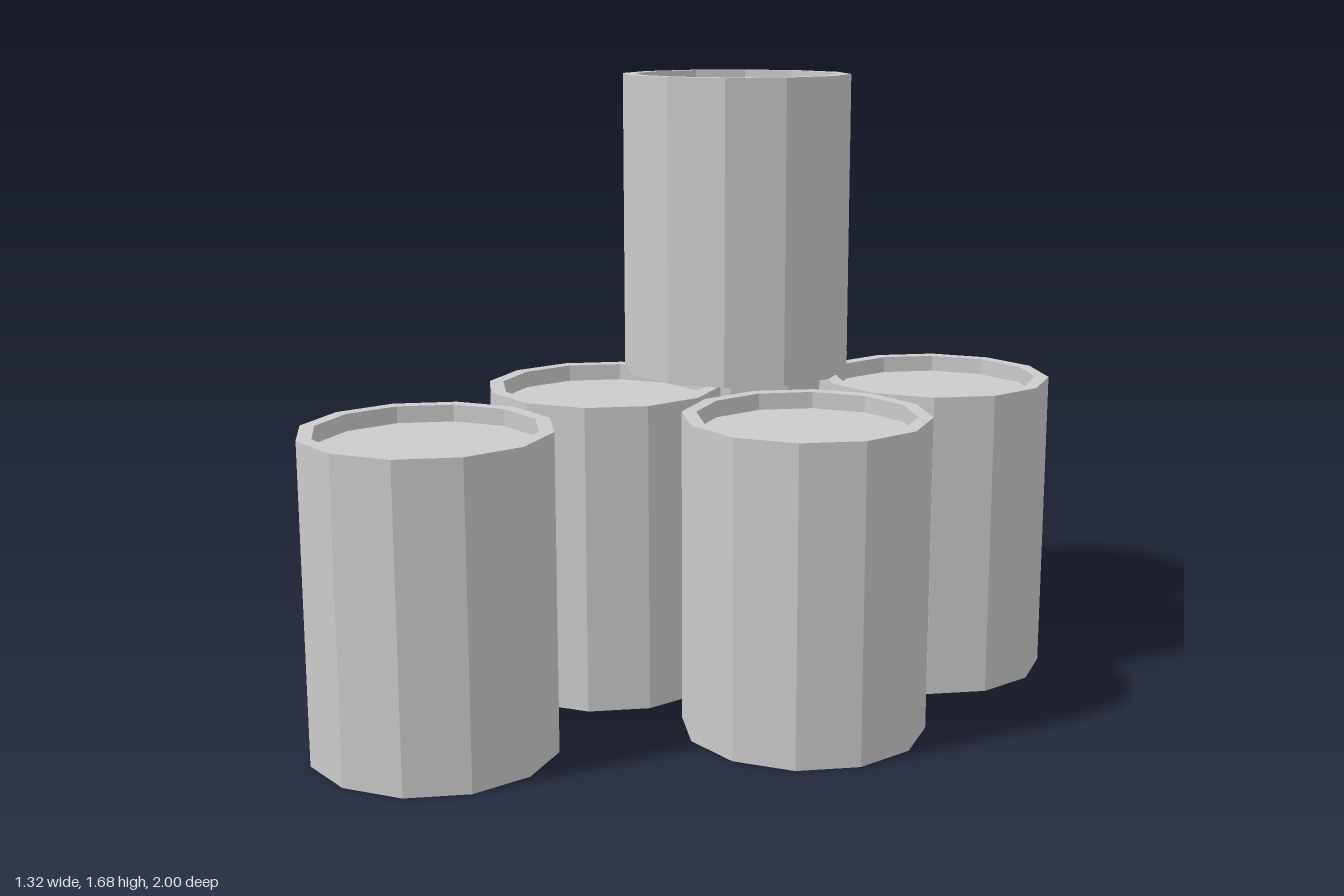
import * as THREE from 'three';

const SIDES = 12;
const RADIUS = 0.323;
const INNER = 0.285;
const HEIGHT = 0.838;
const RECESS = 0.045;

// Closed drum profile, bottom centre to top centre, with a recessed lid at both ends
function drumGeometry() {
  const profile = [
    [0, RECESS], [INNER, RECESS], [INNER, 0], [RADIUS, 0],
    [RADIUS, HEIGHT], [INNER, HEIGHT], [INNER, HEIGHT - RECESS], [0, HEIGHT - RECESS],
  ].map(([r, y]) => new THREE.Vector2(r, y));
  return new THREE.LatheGeometry(profile, SIDES);
}

export function createModel() {
  const group = new THREE.Group();
  group.name = 'barrelStack';
  const geometry = drumGeometry();
  const material = new THREE.MeshStandardMaterial({ color: 0xcccccc, flatShading: true });

  // Five drums on the ground, one stacked on top
  const drums = [
    ['backRightBarrel', -0.336, 0, -0.677],
    ['backLeftBarrel', 0.333, 0, -0.677],
    ['middleRightBarrel', -0.336, 0, -0.021],
    ['middleLeftBarrel', 0.333, 0, -0.021],
    ['frontRightBarrel', -0.336, 0, 0.677],
    ['topBarrel', -0.194, HEIGHT, -0.447],
  ];
  for (const [name, x, y, z] of drums) {
    const drum = new THREE.Mesh(geometry, material);
    drum.name = name;
    drum.position.set(x, y, z);
    group.add(drum);
  }
  return group;
}
